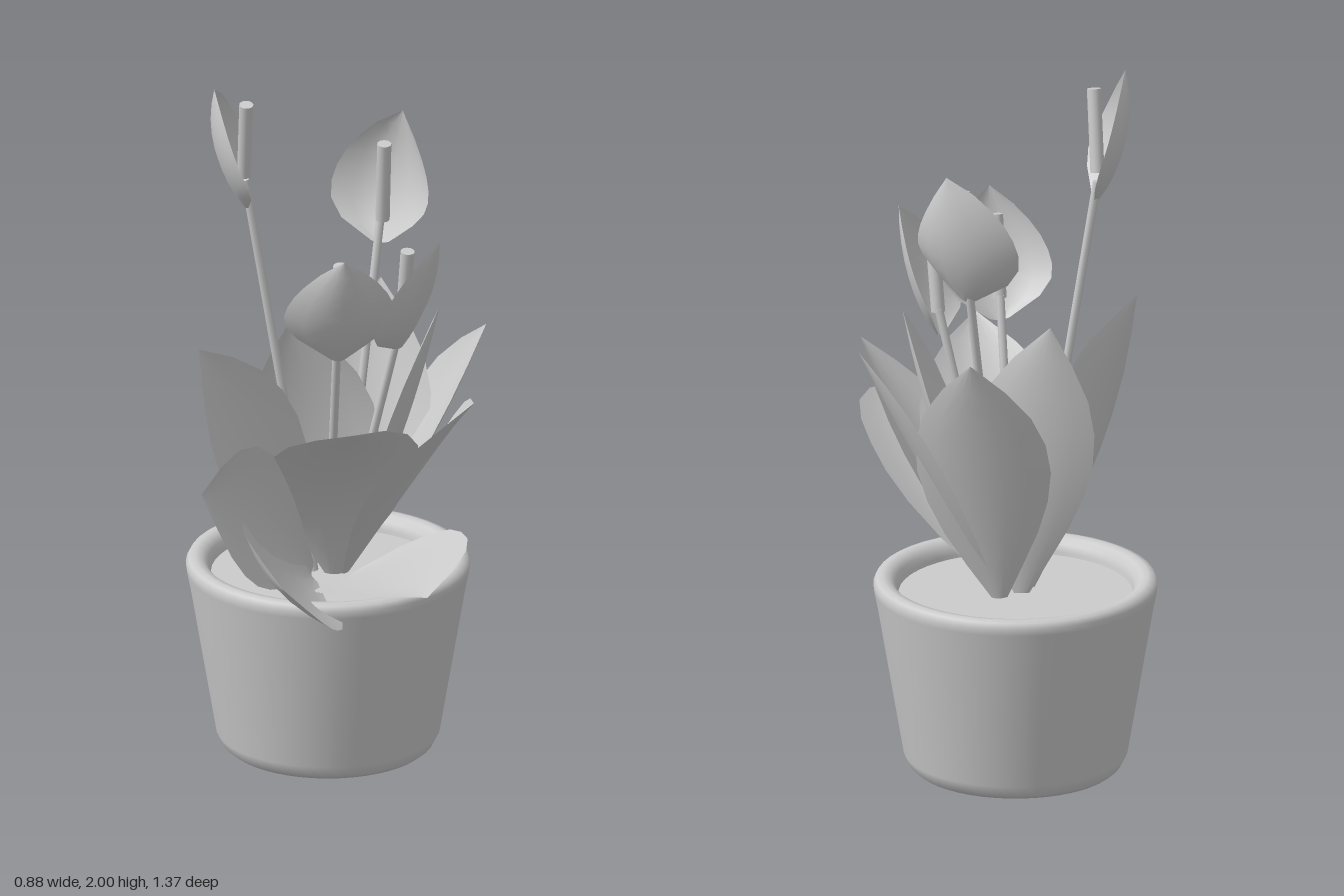
import * as THREE from 'three';

const V = (a) => new THREE.Vector3(...a);
const grey = new THREE.MeshStandardMaterial({ color: 0xcccccc });
const thin = new THREE.MeshStandardMaterial({ color: 0xcccccc, side: THREE.DoubleSide });

// Relative half-widths from base to tip
const LEAF = [0.12, 0.42, 0.7, 0.9, 1, 0.97, 0.8, 0.46, 0];
const LOW_LEAF = [0.15, 0.6, 0.88, 1, 1, 0.94, 0.78, 0.46, 0];
const SPATHE = [0.18, 0.74, 0.96, 1, 0.95, 0.84, 0.66, 0.4, 0];

function add(group, name, geometry, material = grey) {
  const mesh = new THREE.Mesh(geometry, material);
  mesh.name = name;
  group.add(mesh);
  return mesh;
}

// Cupped blade along a curved midrib; its hollow side looks towards "face"
function blade(base, mid, tip, face, halfWidth, cup, profile) {
  const b = V(base), t = V(tip);
  // control point that makes the curve pass through "mid"
  const ctrl = V(mid).multiplyScalar(2).addScaledVector(b, -0.5).addScaledVector(t, -0.5);
  const curve = new THREE.QuadraticBezierCurve3(b, ctrl, t);
  const rows = profile.length - 1, cols = 6, pos = [], index = [];
  for (let i = 0; i <= rows; i++) {
    const p = curve.getPoint(i / rows), tangent = curve.getTangent(i / rows);
    const side = tangent.clone().cross(V(face)).normalize();
    const normal = side.clone().cross(tangent).normalize();
    const w = halfWidth * profile[i];
    for (let j = 0; j <= cols; j++) {
      const v = (j / cols) * 2 - 1;
      const q = p.clone().addScaledVector(side, v * w).addScaledVector(normal, cup * v * v * profile[i]);
      pos.push(q.x, q.y, q.z);
      if (i < rows && j < cols) {
        const a = i * (cols + 1) + j, c = a + cols + 1;
        index.push(a, a + 1, c, a + 1, c + 1, c);
      }
    }
  }
  const g = new THREE.BufferGeometry();
  g.setAttribute('position', new THREE.Float32BufferAttribute(pos, 3));
  g.setIndex(index);
  g.computeVertexNormals();
  return g;
}

// Straight rod between two points
function rod(from, to, radius, sides) {
  const a = V(from), b = V(to), d = b.clone().sub(a);
  const g = new THREE.CylinderGeometry(radius, radius, d.length(), sides);
  g.applyQuaternion(new THREE.Quaternion().setFromUnitVectors(new THREE.Vector3(0, 1, 0), d.normalize()));
  const c = a.add(b).multiplyScalar(0.5);
  return g.translate(c.x, c.y, c.z);
}

export function createModel() {
  const root = new THREE.Group();
  root.name = 'pottedPlant';

  // Pot with a rounded foot and rolled rim, filled with soil
  const profile = [
    [0, 0], [0.28, 0], [0.295, 0.012], [0.312, 0.045], [0.384, 0.47], [0.394, 0.52], [0.396, 0.54],
    [0.388, 0.555], [0.37, 0.56], [0.35, 0.556], [0.335, 0.54], [0.328, 0.52], [0.322, 0.48],
  ].map(([x, y]) => new THREE.Vector2(x, y));
  add(root, 'pot', new THREE.LatheGeometry(profile, 48), thin).position.z = -0.29;
  const soil = add(root, 'soil', new THREE.CircleGeometry(0.326, 48).rotateX(-Math.PI / 2));
  soil.position.set(0, 0.51, -0.29);

  // Leaves: base, middle, tip, facing direction, half width, cup, outline
  const leaves = [
    ['lowLeafLeft', [0.05, 0.52, -0.22], [0.13, 0.71, 0.25], [0.16, 0.8, 0.68], [-0.32, 0.95, 0], 0.21, 0.03, LOW_LEAF],
    ['lowLeafRight', [-0.05, 0.52, -0.22], [-0.2, 0.68, 0.24], [-0.24, 0.83, 0.65], [0.74, 0.67, 0], 0.2, 0.04, LOW_LEAF],
    ['sideLeafRight', [-0.05, 0.52, -0.26], [-0.26, 0.82, 0.08], [-0.44, 1.03, 0.41], [0.85, 0.15, 0.5], 0.19, 0.04, LEAF],
    ['frontLeaf', [0.01, 0.52, -0.24], [0.02, 0.86, -0.06], [0, 1.14, 0.29], [0, 0, -1], 0.21, 0.05, LEAF],
    ['frontLeafLeft', [0.05, 0.52, -0.25], [0.22, 0.87, -0.08], [0.36, 1.15, 0.11], [-0.75, 0, -0.6], 0.18, 0.04, LEAF],
    ['sideLeafLeft', [0.06, 0.52, -0.3], [0.26, 0.88, -0.29], [0.44, 1.24, -0.26], [-1, 0, 0], 0.18, 0.04, LEAF],
    ['innerLeafLeft', [0.05, 0.52, -0.28], [0.2, 0.93, -0.23], [0.3, 1.33, -0.18], [-1, 0, -0.3], 0.17, 0.04, LEAF],
    ['backLeafLeft', [0.06, 0.52, -0.36], [0.13, 0.9, -0.45], [0.18, 1.28, -0.55], [-0.38, 0, 0.92], 0.19, 0.05, LEAF],
    ['backLeaf', [-0.01, 0.52, -0.33], [-0.03, 0.9, -0.33], [-0.1, 1.28, -0.28], [-0.15, 0, 1], 0.18, 0.03, LEAF],
    ['rearLeafRight', [-0.05, 0.52, -0.28], [-0.22, 0.9, -0.17], [-0.39, 1.28, -0.06], [0.72, 0.1, 0.68], 0.18, 0.04, LEAF],
  ];
  for (const [name, ...shape] of leaves) add(root, name, blade(...shape), thin);

  // Flowers: stem foot, stem top, spathe bottom, middle and tip, facing direction, spadix ends
  const flowers = [
    ['rightFlower', [-0.04, 0.52, -0.28], [-0.235, 1.7, -0.27], [-0.24, 1.63, -0.24], [-0.325, 1.81, -0.235],
      [-0.33, 2, -0.2], [1, 0, 0.1], [-0.24, 1.72, -0.25], [-0.24, 1.95, -0.2]],
    ['backFlower', [0.04, 0.52, -0.31], [0.165, 1.5, -0.44], [0.17, 1.43, -0.43], [0.21, 1.61, -0.49],
      [0.23, 1.81, -0.46], [-0.6, 0, 0.8], [0.17, 1.5, -0.43], [0.17, 1.74, -0.39]],
    ['frontFlower', [0, 0.52, -0.29], [0, 1.31, -0.07], [0, 1.23, -0.05], [0, 1.39, 0.05],
      [0, 1.58, 0.09], [0, 0, -1], [0, 1.3, -0.06], [0, 1.53, -0.01]],
    ['leftFlower', [0.03, 0.52, -0.28], [0.19, 1.31, -0.15], [0.19, 1.23, -0.14], [0.25, 1.39, -0.07],
      [0.28, 1.58, -0.03], [-0.85, 0, -0.53], [0.19, 1.3, -0.14], [0.2, 1.53, -0.1]],
  ];
  for (const [name, foot, top, bottom, mid, tip, face, s0, s1] of flowers) {
    const flower = new THREE.Group();
    flower.name = name;
    add(flower, 'stem', rod(foot, top, 0.012, 8));
    add(flower, 'spathe', blade(bottom, mid, tip, face, 0.155, 0.07, SPATHE), thin);
    add(flower, 'spadix', rod(s0, s1, 0.02, 12));
    root.add(flower);
  }
  return root;
}
